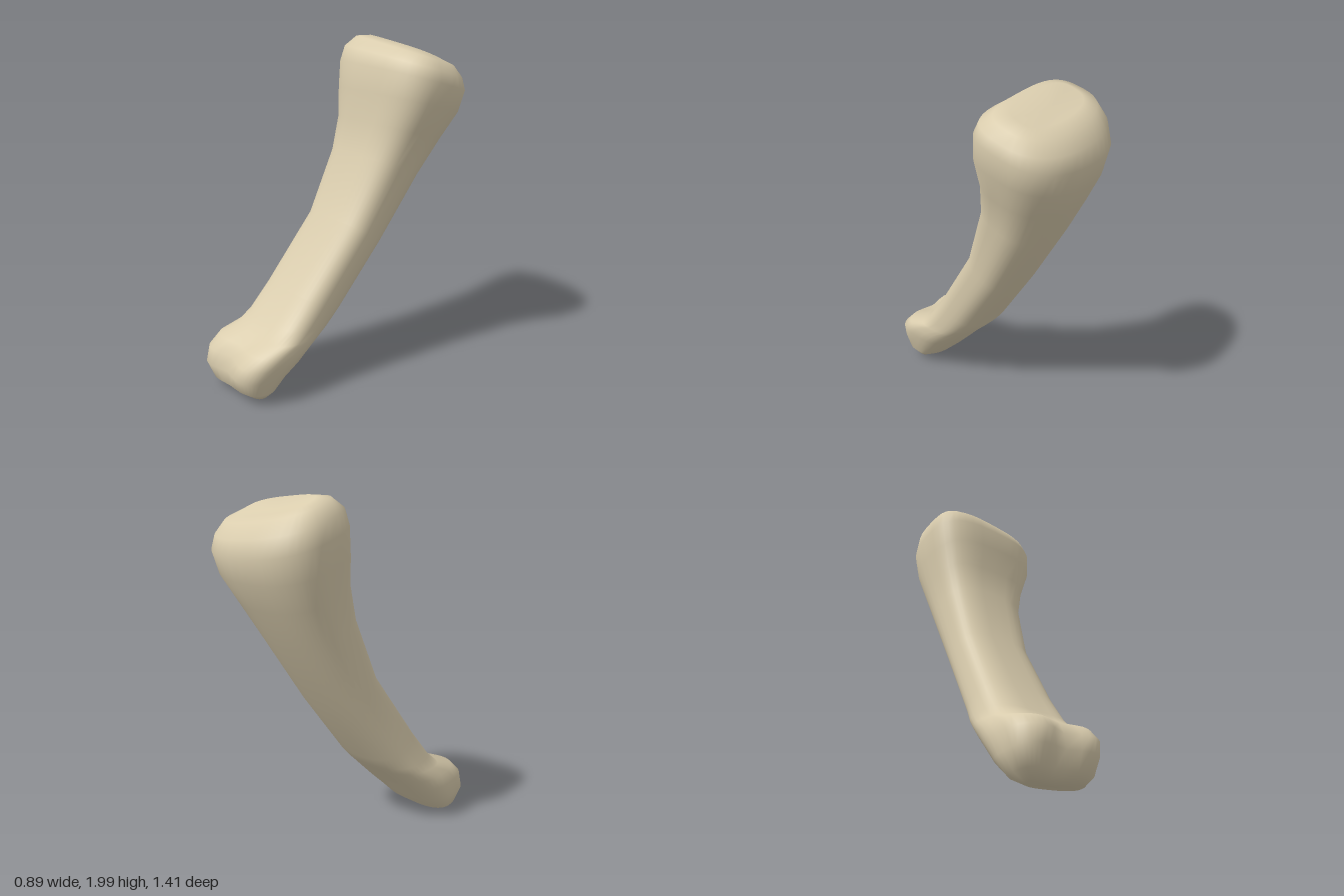
import * as THREE from 'three';

const SIDES = 40;

// Cross-sections from the lower joint to the upper joint:
// [front z, front y, back z, back y, min x, max x]
const SECTIONS = [
  [0.61, 0.03, 0.50, 0.015, -0.34, 0.01],
  [0.67, 0.075, 0.43, 0.05, -0.41, 0.045],
  [0.71, 0.17, 0.34, 0.13, -0.45, 0.07],
  [0.695, 0.26, 0.25, 0.22, -0.45, 0.105],
  [0.63, 0.325, 0.18, 0.29, -0.435, 0.115],
  [0.51, 0.36, 0.11, 0.365, -0.405, 0.115],
  [0.43, 0.43, 0.07, 0.405, -0.385, 0.12],
  [0.30, 0.60, 0.02, 0.465, -0.355, 0.135],
  [0.03, 1.00, -0.24, 0.83, -0.285, 0.195],
  [-0.11, 1.36, -0.48, 1.21, -0.265, 0.27],
  [-0.15, 1.55, -0.60, 1.42, -0.275, 0.345],
  [-0.155, 1.72, -0.68, 1.57, -0.295, 0.42],
  [-0.17, 1.86, -0.715, 1.70, -0.305, 0.44],
  [-0.20, 1.93, -0.69, 1.79, -0.29, 0.425],
  [-0.27, 1.975, -0.63, 1.87, -0.24, 0.38],
  [-0.34, 1.985, -0.56, 1.90, -0.17, 0.30],
];

const rounded = (value, power) => Math.sign(value) * Math.abs(value) ** (2 / power);

// One ring: flattened towards the front, rounder at the back
function addRing(positions, [fz, fy, bz, by, x0, x1]) {
  const midX = (x0 + x1) / 2;
  const midY = (fy + by) / 2;
  const depth = Math.hypot(fz - bz, fy - by);
  // Both joint ends lean sideways; the lower joint has a central groove
  const tilt = 0.12 * THREE.MathUtils.clamp((midY - 1.72) / 0.2, 0, 1)
    - 0.09 * Math.max(0, 1 - midY / 0.25);
  const jointGroove = 0.06 * Math.exp(-(((midY - 0.22) / 0.13) ** 2));

  for (let j = 0; j < SIDES; j++) {
    const a = (j / SIDES) * Math.PI * 2;
    const front = Math.sin(a) > 0;
    const power = front ? 3.2 : 2.4;
    const x = midX + rounded(Math.cos(a), power) * (x1 - x0) / 2;
    const groove = jointGroove * (front ? 2 : 1) / depth * Math.exp(-(((x - midX) / 0.1) ** 2));
    const v = rounded(Math.sin(a), power) * (1 - groove);
    const t = (v + 1) / 2;
    positions.push(x, by + (fy - by) * t - tilt * (x - midX), bz + (fz - bz) * t);
  }
}

function boneGeometry() {
  const positions = [];
  const index = [];
  SECTIONS.forEach((section) => addRing(positions, section));

  // Shallow centres of the two joint ends
  const last = (SECTIONS.length - 1) * SIDES;
  const bottom = SECTIONS.length * SIDES;
  const top = bottom + 1;
  positions.push(-0.165, 0.02, 0.55, 0.07, 1.925, -0.455);

  for (let j = 0; j < SIDES; j++) {
    const k = (j + 1) % SIDES;
    for (let i = 0; i < last; i += SIDES) {
      index.push(i + j, i + SIDES + j, i + k);
      index.push(i + k, i + SIDES + j, i + SIDES + k);
    }
    index.push(bottom, j, k);
    index.push(top, last + k, last + j);
  }

  const geometry = new THREE.BufferGeometry();
  geometry.setAttribute('position', new THREE.Float32BufferAttribute(positions, 3));
  geometry.setIndex(index);
  geometry.computeVertexNormals();
  return geometry;
}

export function createModel() {
  const group = new THREE.Group();
  group.name = 'fingerBone';
  const ivory = new THREE.MeshStandardMaterial({ color: 0xdacdae });
  ivory.name = 'ivory';
  const bone = new THREE.Mesh(boneGeometry(), ivory);
  bone.name = 'boneShaftAndJoints';
  group.add(bone);
  return group;
}
